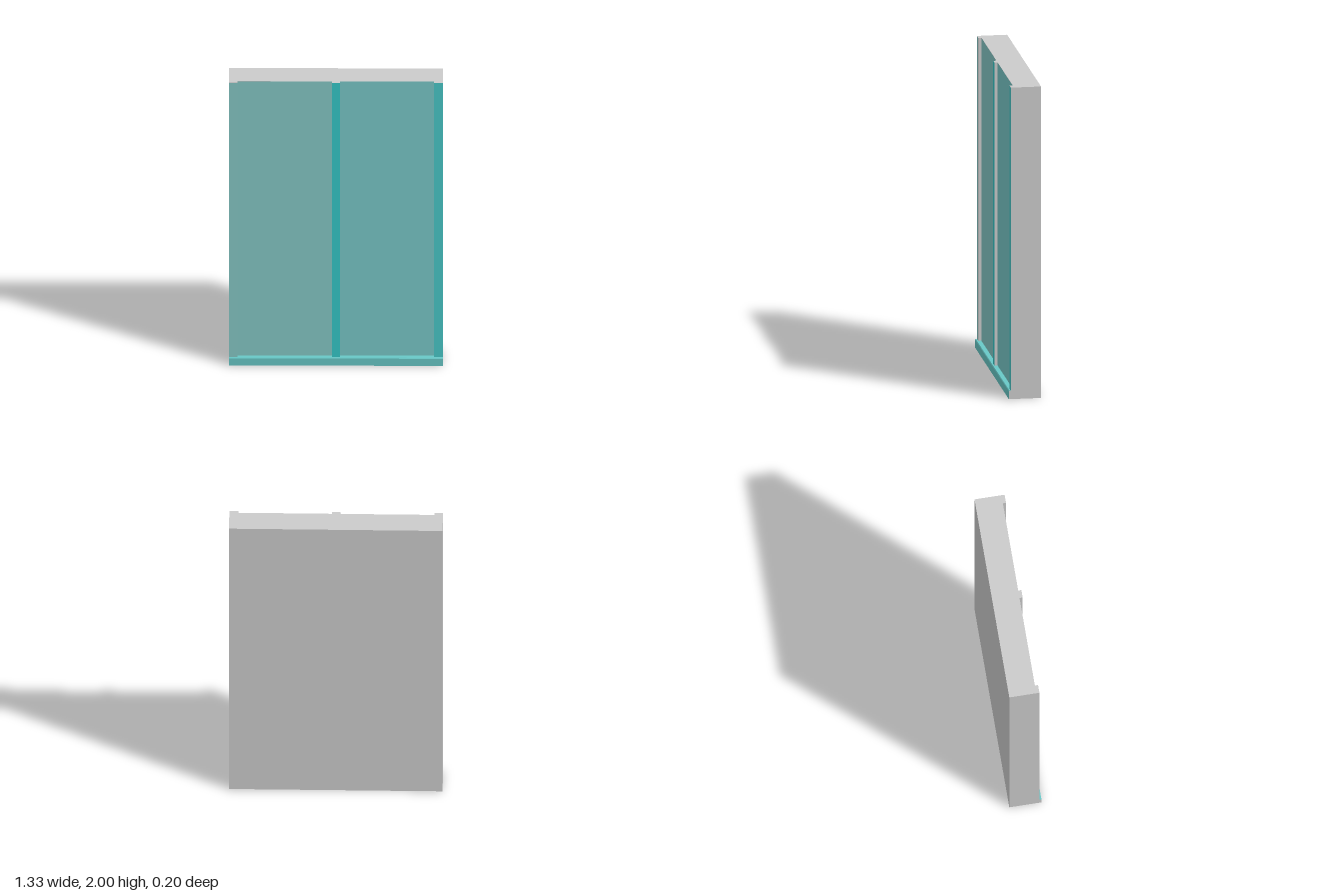
import * as THREE from 'three';

const W = 0.665, BACK = -0.1, PANEL = 0.07, STILE = 0.09, RAIL = 0.103;
const RAIL_H = 0.055, H = 2;

function mat(color) {
  return new THREE.MeshStandardMaterial({ color });
}

function add(group, name, geometry, material) {
  const mesh = new THREE.Mesh(geometry, material);
  mesh.name = name;
  group.add(mesh);
  return mesh;
}

export function createModel() {
  const model = new THREE.Group();
  model.name = 'doublePanel';
  const grey = mat(0xcccccc);

  // Slab: plan outline with two shallow recesses, extruded upwards
  const plan = [
    [-W, BACK], [W, BACK], [W, STILE], [0.61, STILE], [0.61, PANEL], [0.025, PANEL],
    [0.025, STILE], [-0.025, STILE], [-0.025, PANEL], [-0.613, PANEL], [-0.613, STILE], [-W, STILE],
  ];
  const outline = new THREE.Shape(plan.map(([x, z]) => new THREE.Vector2(x, -z)));
  const slab = new THREE.ExtrudeGeometry(outline, { depth: H, bevelEnabled: false });
  slab.rotateX(-Math.PI / 2);
  add(model, 'slab', slab, grey);

  // Tinted faces: two recessed panels and three upright stiles
  const faces = [
    ['rightPanelFace', -0.613, -0.025, PANEL, 0x85c8c6],
    ['leftPanelFace', 0.025, 0.61, PANEL, 0x78c8c8],
    ['rightStileFace', -W, -0.613, STILE, 0x86c8c6],
    ['middleStileFace', -0.025, 0.025, STILE, 0x35c8c8],
    ['leftStileFace', 0.61, W, STILE, 0x48c8c8],
  ];
  for (const [name, x0, x1, z, color] of faces) {
    const face = add(model, name, new THREE.PlaneGeometry(x1 - x0, H - RAIL_H), mat(color));
    face.position.set((x0 + x1) / 2, (H + RAIL_H) / 2, z + 0.001);
  }

  // Bottom rail: side profile with a small chamfer, swept across the width
  const profile = new THREE.Shape([
    [PANEL, 0], [RAIL, 0], [RAIL, RAIL_H - 0.005], [RAIL - 0.004, RAIL_H], [PANEL, RAIL_H],
  ].map(([z, y]) => new THREE.Vector2(-z, y)).reverse());
  const rail = new THREE.ExtrudeGeometry(profile, { depth: 2 * W, bevelEnabled: false });
  rail.rotateY(Math.PI / 2).translate(-W, 0, 0);
  // Ends stay grey, the swept faces are tinted
  add(model, 'bottomRail', rail, [grey, mat(0x68c8c7)]);

  // Grey underside of the rail
  const base = add(model, 'railUnderside', new THREE.PlaneGeometry(2 * W, RAIL - PANEL), grey);
  base.rotation.x = Math.PI / 2;
  base.position.set(0, -0.0005, (RAIL + PANEL) / 2);

  return model;
}
